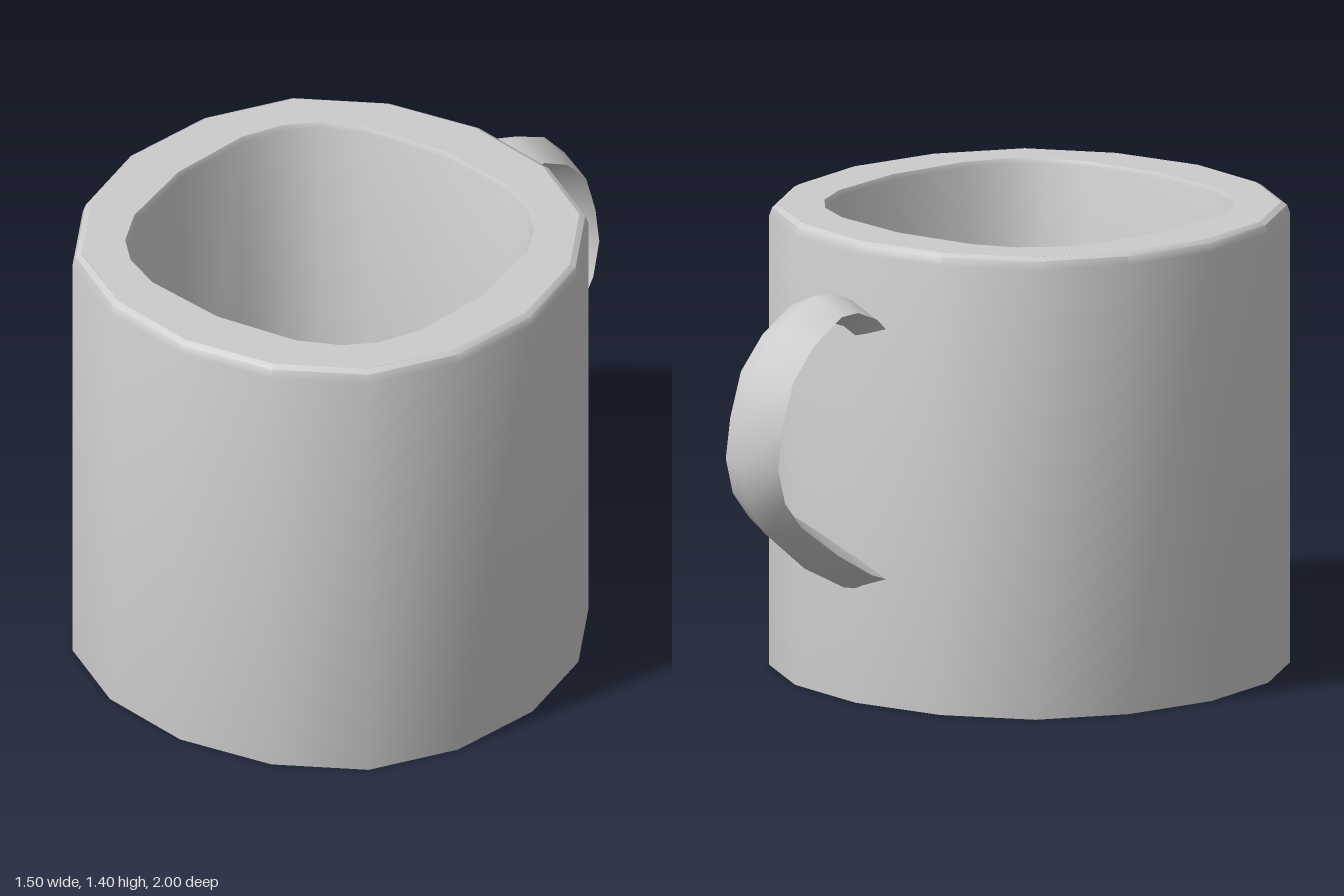
import * as THREE from 'three';
import { toCreasedNormals } from 'three/addons/utils/BufferGeometryUtils.js';

const TOP = 1.405;
const material = new THREE.MeshStandardMaterial({ color: 0xcccccc, side: THREE.DoubleSide });

// One quarter of an outline [x, z], turned four times into a closed loop
function outline(quarter) {
  const points = [];
  for (let k = 0; k < 4; k++) {
    for (let [x, z] of quarter) {
      for (let n = 0; n < k; n++) [x, z] = [-z, x];
      points.push(new THREE.Vector2(x, z));
    }
  }
  return points;
}

const OUTER = outline([[0.75, 0], [0.697, 0.3], [0.55, 0.548], [0.3, 0.697]]);
const INNER = outline([[0.557, 0], [0.522, 0.263], [0.463, 0.387], [0.387, 0.463], [0.263, 0.522]]);

const scaled = (points, s) => points.map((p) => p.clone().multiplyScalar(s));
const ring = (points, s, y) => points.map((p) => new THREE.Vector3(p.x * s, y, p.y * s));

// Skin stretched over a list of closed rings
function loft(rings, crease) {
  const n = rings[0].length;
  const index = [];
  for (let i = 0; i < rings.length - 1; i++) {
    for (let j = 0; j < n; j++) {
      const a = i * n + j, b = i * n + (j + 1) % n;
      index.push(a, a + n, b, b, a + n, b + n);
    }
  }
  const geometry = new THREE.BufferGeometry().setFromPoints(rings.flat());
  geometry.setIndex(index);
  return toCreasedNormals(geometry, crease);
}

// Flat ring between the outer and inner outlines
function annulus(outerScale, innerScale) {
  const shape = new THREE.Shape(scaled(OUTER, outerScale));
  shape.holes.push(new THREE.Path(scaled(INNER, innerScale)));
  return new THREE.ShapeGeometry(shape);
}

function part(name, geometry) {
  const mesh = new THREE.Mesh(geometry, material);
  mesh.name = name;
  return mesh;
}

export function createModel() {
  const mug = new THREE.Group();
  mug.name = 'mug';

  // Body: faceted outside, squarish bore, softened rim
  const body = new THREE.Group();
  body.name = 'body';
  body.position.z = 0.245;
  body.add(
    part('outerWall', loft([
      ring(OUTER, 1, 0), ring(OUTER, 1, 1.37), ring(OUTER, 0.988, 1.395), ring(OUTER, 0.965, TOP),
    ], 0.7)),
    part('innerWall', loft([
      ring(INNER, 1.015, TOP), ring(INNER, 1, 1.39), ring(INNER, 1, 0),
    ], 0.7)),
    part('rim', annulus(0.965, 1.015).rotateX(-Math.PI / 2).translate(0, TOP, 0)),
    part('footRing', annulus(1, 1).rotateX(Math.PI / 2)),
  );

  // Floor slab, set above the hollow under the foot
  const floor = new THREE.ExtrudeGeometry(new THREE.Shape(INNER), { depth: 0.04, bevelEnabled: false });
  body.add(part('floor', floor.rotateX(-Math.PI / 2).translate(0, 0.26, 0)));
  mug.add(body);

  // Handle: diamond section, from outer [z, y] to inner [z, y] at each station
  const stations = [
    [-0.485, 1.205, -0.485, 1.1],
    [-0.52, 1.23, -0.53, 1.147],
    [-0.6, 1.265, -0.61, 1.178],
    [-0.68, 1.27, -0.67, 1.17],
    [-0.82, 1.195, -0.765, 1.11],
    [-0.92, 1.09, -0.85, 1.02],
    [-0.972, 0.945, -0.889, 0.9],
    [-1, 0.8, -0.9, 0.8],
    [-0.965, 0.665, -0.875, 0.715],
    [-0.89, 0.575, -0.81, 0.635],
    [-0.725, 0.445, -0.66, 0.545],
    [-0.555, 0.36, -0.54, 0.465],
    [-0.485, 0.345, -0.485, 0.435],
  ];
  const halfWidth = 0.108;
  const sections = stations.map(([oz, oy, iz, iy]) => {
    const mz = (oz + iz) / 2, my = (oy + iy) / 2;
    return [
      new THREE.Vector3(0, oy, oz),
      new THREE.Vector3(-halfWidth, my, mz),
      new THREE.Vector3(0, iy, iz),
      new THREE.Vector3(halfWidth, my, mz),
    ];
  });
  mug.add(part('handle', loft(sections, 1.2)));

  return mug;
}
